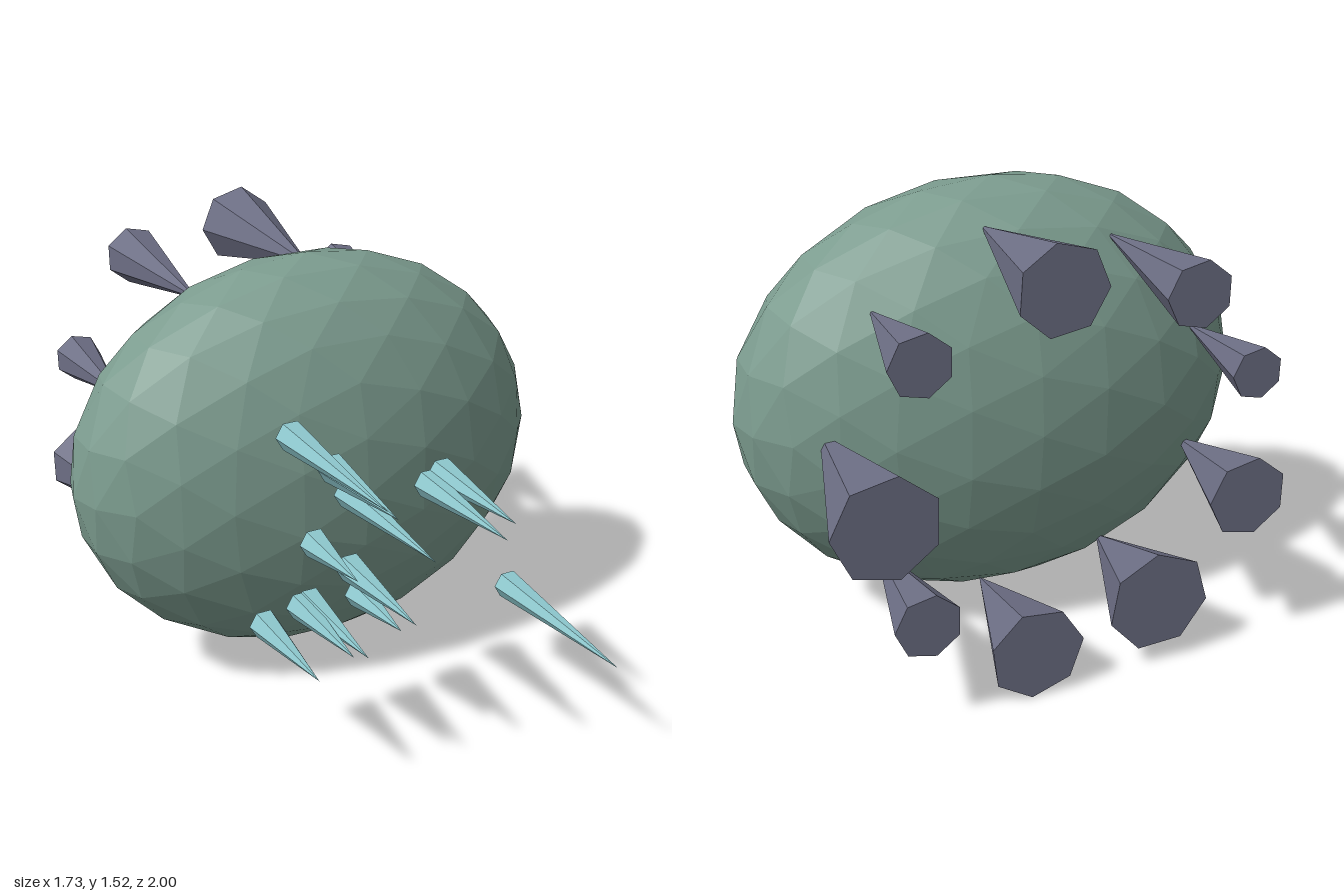
import * as THREE from 'three';

const flat = (name, color) => {
  const m = new THREE.MeshStandardMaterial({ color, flatShading: true });
  m.name = name;
  return m;
};

// Unit icosphere made by halving the edges twice, rounding each time
function icosphere() {
  const once = new THREE.IcosahedronGeometry(1, 1).attributes.position;
  const index = Array.from({ length: once.count }, (_, i) => i);
  return new THREE.PolyhedronGeometry(Array.from(once.array), index, 1, 1);
}

// Closed cone along z, with one base corner at the given angle from +x
function spike(name, material, sides, x, y, radius, baseZ, tipZ, angle = 0) {
  const length = Math.abs(tipZ - baseZ);
  const geo = new THREE.ConeGeometry(radius, length, sides, 1, false, Math.PI / 2);
  geo.rotateX(tipZ > baseZ ? Math.PI / 2 : -Math.PI / 2);
  geo.rotateZ(THREE.MathUtils.degToRad(angle));
  const mesh = new THREE.Mesh(geo, material);
  mesh.name = name;
  mesh.position.set(x, y, (baseZ + tipZ) / 2);
  return mesh;
}

export function createModel() {
  const model = new THREE.Group();
  model.name = 'spikedBlob';
  const green = flat('mossGreen', 0x7c9c8f);
  const purple = flat('slatePurple', 0x6c6e84);
  const cyan = flat('paleCyan', 0x8cc6cc);

  // Faceted oval body
  const body = new THREE.Mesh(icosphere(), green);
  body.name = 'body';
  body.scale.set(0.867, 0.712, 0.446);
  body.position.set(0, 0.778, -0.19);
  model.add(body);

  // Thin spikes floating in front: x, y, tip z
  const frontSpikes = new THREE.Group();
  frontSpikes.name = 'frontSpikes';
  [
    [-0.35, 1.113, 0.97], [-0.207, 0.974, 0.79], [-0.15, 0.876, 0.91],
    [-0.272, 0.727, 0.67], [0.197, 0.872, 0.81], [0.146, 0.843, 0.84],
    [-0.142, 0.606, 0.8], [-0.11, 0.503, 0.66], [-0.453, 0.481, 0.76],
    [-0.323, 0.513, 0.74], [-0.29, 0.518, 0.77], [0.485, 0.378, 1],
  ].forEach(([x, y, tip]) =>
    frontSpikes.add(spike('frontSpike', cyan, 6, x, y, 0.05, 0.38, tip)));
  model.add(frontSpikes);

  // Thick spikes with their points sunk in the back: x, y, radius, base z, tip z, turn
  const backSpikes = new THREE.Group();
  backSpikes.name = 'backSpikes';
  [
    [0.1, 1.387, 0.141, -0.96, -0.36, 80],
    [-0.317, 1.32, 0.105, -0.975, -0.38, 0],
    [0.48, 1.185, 0.1, -0.865, -0.41, 0],
    [0.632, 0.777, 0.166, -1, -0.35, 0],
    [-0.59, 0.995, 0.085, -0.88, -0.44, 0],
    [-0.59, 0.575, 0.135, -0.885, -0.43, 0],
    [0.478, 0.367, 0.107, -0.9, -0.4, 0],
    [0.113, 0.161, 0.157, -0.87, -0.39, 275.5],
    [-0.318, 0.234, 0.174, -0.845, -0.39, 292],
  ].forEach(([x, y, r, base, tip, turn]) =>
    backSpikes.add(spike('backSpike', purple, 7, x, y, r, base, tip, turn)));
  model.add(backSpikes);

  return model;
}
